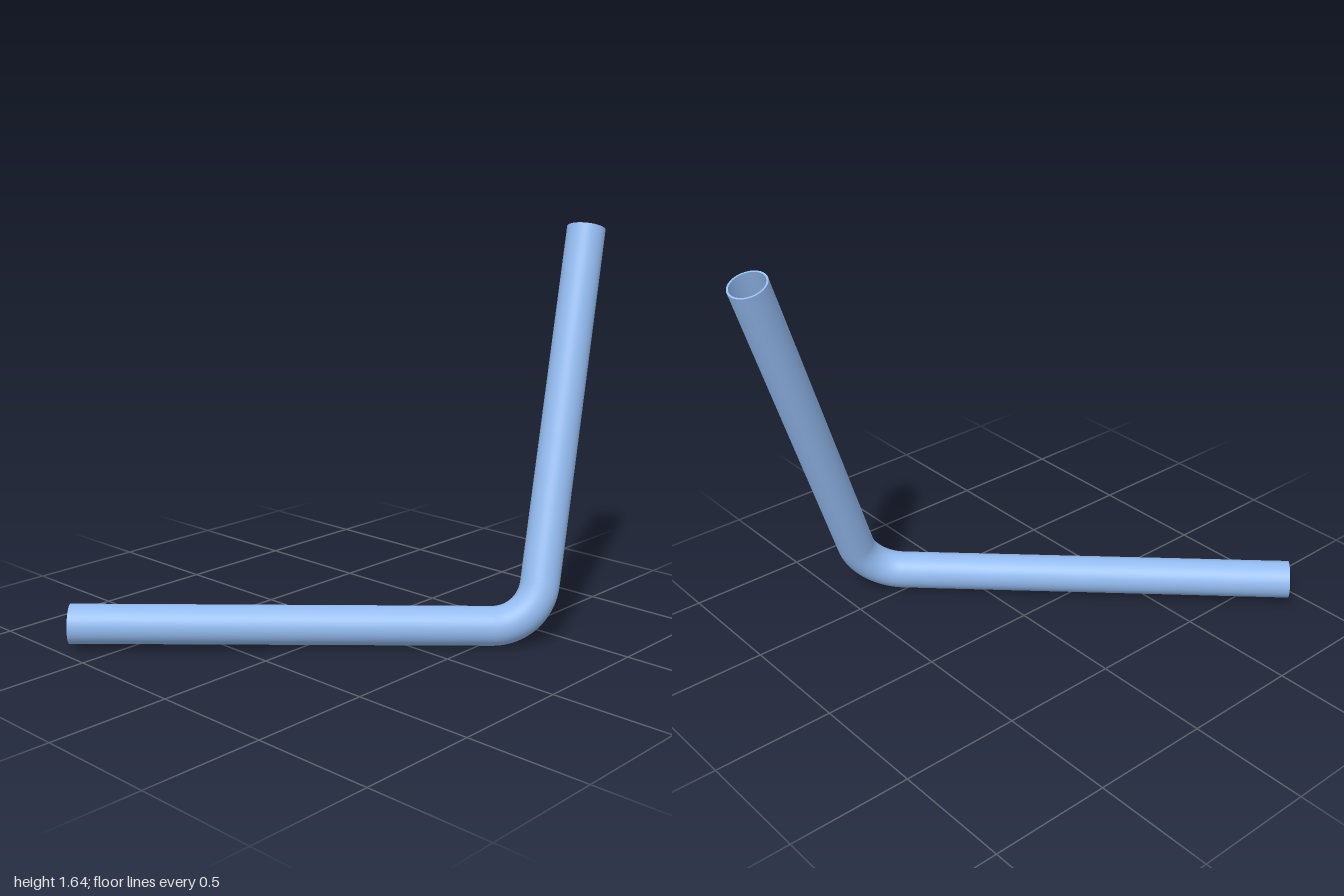
import * as THREE from 'three';

const START = new THREE.Vector3(-0.66, 0.108, 0.94);
const CORNER = new THREE.Vector3(0.65, 0.081, -0.36);
const END = new THREE.Vector3(0.45, 1.617, -0.921);
const OUTER = 0.079, INNER = 0.071, TANGENT_LENGTH = 0.17;
const BEND_STEPS = 24, SIDES = 64;

const dirA = CORNER.clone().sub(START).normalize();
const dirB = END.clone().sub(CORNER).normalize();

// Centre line: straight run, circular bend, straight run
class BentPath extends THREE.Curve {
  constructor() {
    super();
    this.angle = dirA.angleTo(dirB);
    this.radius = TANGENT_LENGTH / Math.tan(this.angle / 2);
    this.normal = dirB.clone().addScaledVector(dirA, -dirA.dot(dirB)).normalize();
    this.bendStart = CORNER.clone().addScaledVector(dirA, -TANGENT_LENGTH);
    this.steps = BEND_STEPS + 2;
  }
  theta(u) {
    return THREE.MathUtils.clamp((u * this.steps - 1) / BEND_STEPS, 0, 1) * this.angle;
  }
  getPointAt(u, target = new THREE.Vector3()) {
    const station = Math.round(u * this.steps);
    if (station === 0) return target.copy(START);
    if (station === this.steps) return target.copy(END);
    const t = this.theta(u);
    return target.copy(this.bendStart)
      .addScaledVector(this.normal, this.radius * (1 - Math.cos(t)))
      .addScaledVector(dirA, this.radius * Math.sin(t));
  }
  getTangentAt(u, target = new THREE.Vector3()) {
    const t = this.theta(u);
    return target.copy(dirA).multiplyScalar(Math.cos(t)).addScaledVector(this.normal, Math.sin(t));
  }
}

export function createModel() {
  const group = new THREE.Group();
  group.name = 'bentPipe';
  const blue = new THREE.MeshStandardMaterial({ color: 0x94bbf0, side: THREE.DoubleSide });
  const grey = new THREE.MeshStandardMaterial({ color: 0xcccccc, side: THREE.DoubleSide });
  const path = new BentPath();

  const add = (name, geometry, material) => {
    const mesh = new THREE.Mesh(geometry, material);
    mesh.name = name;
    group.add(mesh);
    return mesh;
  };
  // Flat part set across the pipe, facing along a direction
  const addFacing = (name, geometry, material, position, direction) => {
    const mesh = add(name, geometry, material);
    mesh.position.copy(position);
    mesh.quaternion.setFromUnitVectors(new THREE.Vector3(0, 0, 1), direction);
  };

  // Pipe walls
  add('outerWall', new THREE.TubeGeometry(path, path.steps, OUTER, SIDES), blue);
  add('innerWall', new THREE.TubeGeometry(path, path.steps, INNER, SIDES), blue);

  // Rims closing the wall thickness at both open ends
  const rim = new THREE.RingGeometry(INNER, OUTER, SIDES);
  addFacing('lowerRim', rim, blue, START, dirA.clone().negate());
  addFacing('upperRim', rim, blue, END, dirB);

  // Plug deep inside the upright leg
  const plugPosition = END.clone().addScaledVector(dirB, -0.34);
  addFacing('innerPlug', new THREE.CircleGeometry(INNER, SIDES), grey, plugPosition, dirB);

  return group;
}
